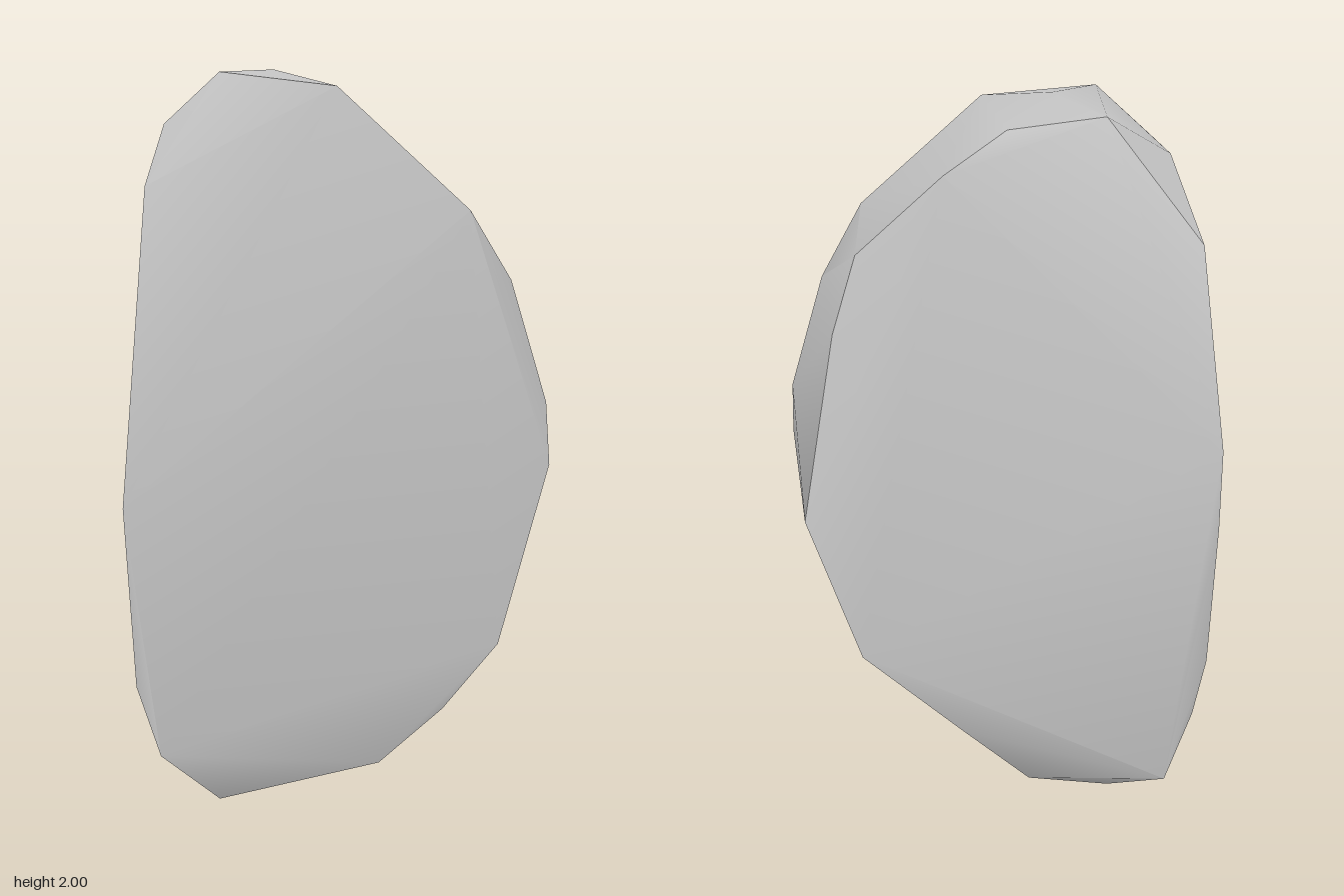
import * as THREE from 'three';
import { ConvexGeometry } from 'three/addons/geometries/ConvexGeometry.js';
import { toCreasedNormals } from 'three/addons/utils/BufferGeometryUtils.js';

// corners around the front face, clockwise from the top
const frontRim = [
  [-0.25, 1.98, 0.27], [0.06, 1.94, 0.3], [0.4, 1.63, 0.3], [0.5, 1.45, 0.19],
  [0.595, 1.13, 0.165], [0.607, 0.97, 0.2], [0.485, 0.51, 0.305], [0.34, 0.32, 0.28],
  [0.17, 0.16, 0.275], [-0.28, 0.01, 0.215], [-0.42, 0.16, 0.315], [-0.495, 0.34, 0.28],
  [-0.515, 0.84, 0.312], [-0.445, 1.69, 0.295], [-0.4, 1.85, 0.26],
];

// corners around the back face, in the same order
const backRim = [
  [-0.285, 2, -0.175], [-0.04, 1.957, -0.15], [0.12, 1.84, -0.157], [0.36, 1.605, -0.09],
  [0.425, 1.39, -0.11], [0.517, 0.85, -0.15], [0.36, 0.46, -0.215], [0.08, 0.21, -0.192],
  [-0.11, 0.025, -0.15], [-0.34, 0.015, -0.15], [-0.5, 0.13, -0.272], [-0.57, 0.34, -0.25],
  [-0.6, 0.52, -0.26], [-0.608, 0.95, -0.3], [-0.605, 1.18, -0.318], [-0.535, 1.69, -0.205],
  [-0.445, 1.89, -0.09],
];

// corners between the two rims, on the crown and underside
const middle = [[-0.14, 1.996, 0.1], [0, 0.055, 0.1], [-0.3, 0, 0]];

export function createModel() {
  const stoneGrey = new THREE.MeshStandardMaterial({ color: 0xc6c6c6 });
  stoneGrey.name = 'pale stone grey';

  // chiselled slab: the hull of its corners, soft across shallow bends and sharp at the rims
  const points = [...frontRim, ...backRim, ...middle].map((p) => new THREE.Vector3(...p));
  const geometry = toCreasedNormals(new ConvexGeometry(points), THREE.MathUtils.degToRad(38));

  const rock = new THREE.Mesh(geometry, stoneGrey);
  rock.name = 'rock';

  const model = new THREE.Group();
  model.name = 'standing stone';
  model.add(rock);
  return model;
}
